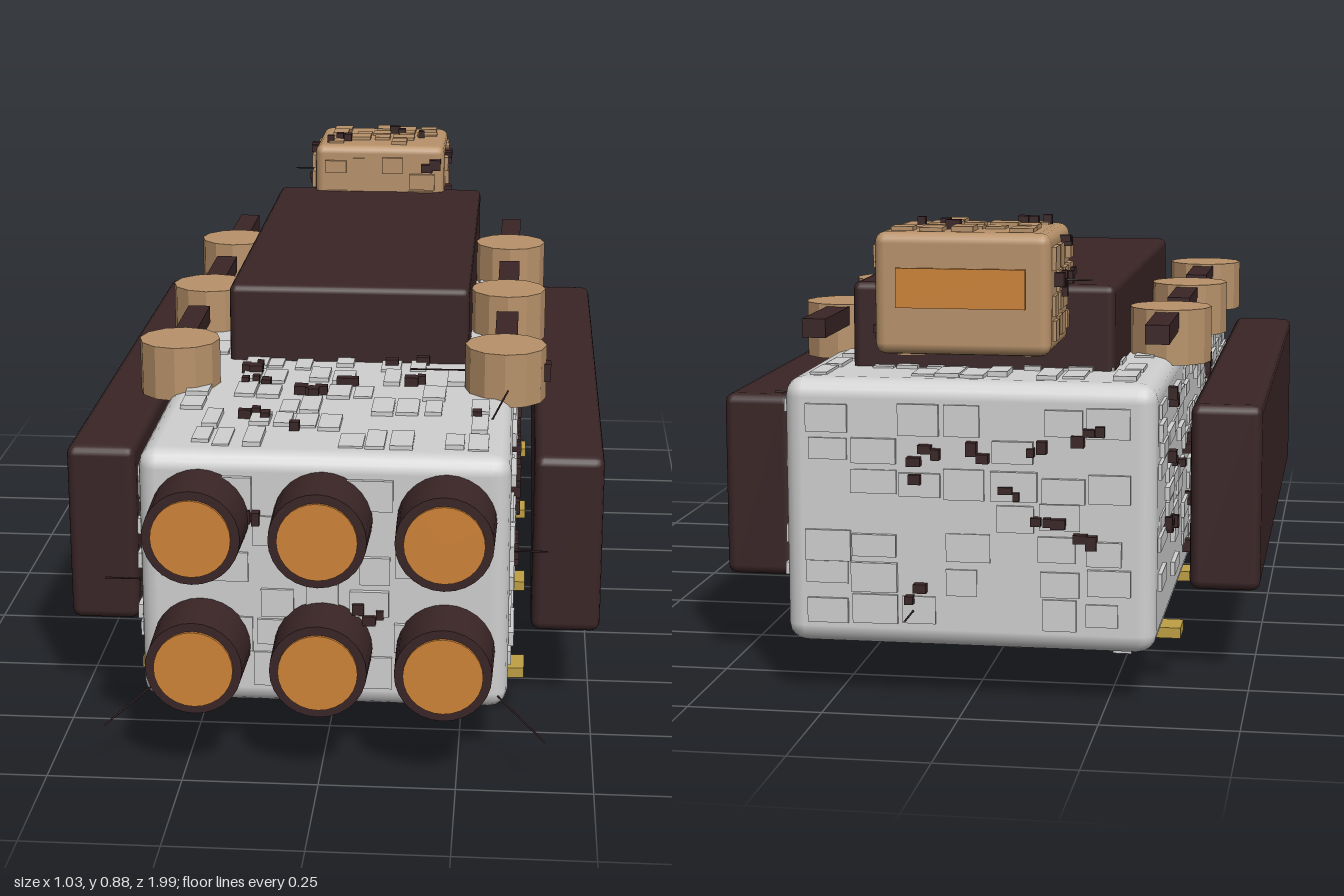
import * as THREE from 'three';
import { mergeGeometries } from 'three/addons/utils/BufferGeometryUtils.js';
import { RoundedBoxGeometry } from 'three/addons/geometries/RoundedBoxGeometry.js';

const paint = (name, color, side = THREE.FrontSide) => {
  const m = new THREE.MeshStandardMaterial({ color, side });
  m.name = name;
  return m;
};

export function createModel() {
  const ship = new THREE.Group();
  ship.name = 'freighter';
  const grey = paint('hull grey', 0xd0d0d0);
  const dark = paint('dark brown', 0x3a2526);
  const tan = paint('tan', 0xb8926a);
  const orange = paint('engine orange', 0xd08438);
  const gold = paint('gold', 0xbfa044);

  let seed = 17;
  const rnd = () => {
    seed = (seed * 16807) % 2147483647;
    return seed / 2147483647;
  };

  const add = (name, geo, mat, x = 0, y = 0, z = 0, parent = ship) => {
    const m = new THREE.Mesh(geo, mat);
    m.name = name;
    m.position.set(x, y, z);
    parent.add(m);
    return m;
  };
  // Rounded box given by its limits
  const block = (name, mat, [x0, x1], [y0, y1], [z0, z1], r) =>
    add(name, new RoundedBoxGeometry(x1 - x0, y1 - y0, z1 - z0, 2, r), mat,
      (x0 + x1) / 2, (y0 + y1) / 2, (z0 + z1) / 2);

  // Main masses
  block('hull', grey, [-0.34, 0.34], [0.1, 0.592], [-0.905, 0.88], 0.035);
  block('topBlock', dark, [-0.246, 0.246], [0.57, 0.75], [-0.74, 0.27], 0.015);
  block('bridge', tan, [-0.157, 0.157], [0.645, 0.862], [-0.955, -0.69], 0.02);
  for (const s of [-1, 1]) {
    const xs = s > 0 ? [0.382, 0.515] : [-0.515, -0.382];
    block('sidePod', dark, xs, [0.17, 0.524], [-0.683, 0.66], 0.018);
  }
  add('bridgeWindow', new THREE.BoxGeometry(0.23, 0.07, 0.008), orange, 0, 0.765, -0.963);

  // Irregular raised plates and dark studs over one face; local z points outward
  const clad = (name, mat, pos, rot, w, h, cw, ch, studs) => {
    const face = new THREE.Group();
    face.name = name;
    face.position.set(...pos);
    face.rotation.set(...rot);
    ship.add(face);
    const plates = [];
    const nx = Math.round(w / cw), ny = Math.round(h / ch);
    for (let i = 0; i < nx; i++) {
      for (let j = 0; j < ny; j++) {
        if (rnd() < 0.45) continue;
        const pw = (w / nx) * (0.65 + 0.35 * rnd());
        const ph = (h / ny) * (0.65 + 0.35 * rnd());
        const t = 0.003 + 0.007 * rnd();
        const g = new THREE.BoxGeometry(pw, ph, t);
        g.translate(-w / 2 + (i + 0.5) * w / nx + (rnd() - 0.5) * (w / nx - pw),
          -h / 2 + (j + 0.5) * h / ny + (rnd() - 0.5) * (h / ny - ph), t / 2);
        plates.push(g);
      }
    }
    add(name + 'Plates', mergeGeometries(plates), mat, 0, 0, 0, face);
    const bits = [];
    for (let i = 0; i < studs; i++) {
      const x = (rnd() - 0.5) * w * 0.92, y = (rnd() - 0.5) * h * 0.92;
      for (let k = 0; k < 1 + Math.floor(rnd() * 3); k++) {
        const g = new THREE.BoxGeometry(0.012 + 0.016 * rnd(), 0.012 + 0.014 * rnd(), 0.026);
        g.translate(x + k * 0.02, y + (rnd() - 0.5) * 0.04, 0.004);
        bits.push(g);
      }
    }
    if (bits.length) add(name + 'Studs', mergeGeometries(bits), dark, 0, 0, 0, face);
  };
  const q = Math.PI / 2;
  clad('hullTop', grey, [0, 0.592, -0.012], [-q, 0, 0], 0.6, 1.7, 0.045, 0.1, 26);
  clad('hullBottom', grey, [0, 0.1, -0.012], [q, 0, 0], 0.6, 1.7, 0.05, 0.12, 32);
  clad('hullLeft', grey, [0.34, 0.346, -0.012], [0, q, 0], 1.7, 0.41, 0.12, 0.035, 30);
  clad('hullRight', grey, [-0.34, 0.346, -0.012], [0, -q, 0], 1.7, 0.41, 0.12, 0.035, 30);
  clad('hullFront', grey, [0, 0.346, 0.88], [0, 0, 0], 0.6, 0.41, 0.09, 0.07, 4);
  clad('hullBack', grey, [0, 0.346, -0.905], [0, Math.PI, 0], 0.6, 0.41, 0.09, 0.06, 9);
  clad('bridgeTop', tan, [0, 0.862, -0.822], [-q, 0, 0], 0.27, 0.22, 0.06, 0.05, 3);
  clad('bridgeFront', tan, [0, 0.753, -0.69], [0, 0, 0], 0.27, 0.17, 0.065, 0.045, 1);
  clad('bridgeLeft', tan, [0.157, 0.753, -0.822], [0, q, 0], 0.22, 0.17, 0.06, 0.04, 4);
  clad('bridgeRight', tan, [-0.157, 0.753, -0.822], [0, -q, 0], 0.22, 0.17, 0.06, 0.04, 4);
  clad('bridgeBottom', tan, [0, 0.645, -0.845], [q, 0, 0], 0.27, 0.18, 0.07, 0.05, 1);

  // Six engines with glowing discs
  for (const x of [-0.225, 0, 0.225]) {
    for (const y of [0.22, 0.47]) {
      const nozzle = new THREE.CylinderGeometry(0.088, 0.091, 0.125, 28).rotateX(q);
      add('engineNozzle', nozzle, dark, x, y, 0.932);
      add('engineGlow', new THREE.CylinderGeometry(0.072, 0.072, 0.008, 28).rotateX(q), orange,
        x, y, 0.996);
    }
  }

  // Turrets with forward barrels, and landing feet
  const drum = new THREE.CylinderGeometry(0.08, 0.08, 0.107, 12).toNonIndexed();
  drum.computeVertexNormals();
  for (const s of [-1, 1]) {
    for (const z of [-0.46, -0.015, 0.435]) {
      add('turret', drum, tan, s * 0.323, 0.629, z);
      add('turretBarrel', new THREE.BoxGeometry(0.045, 0.036, 0.26), dark, s * 0.323, 0.66, z - 0.14);
    }
    for (const z of [-0.69, -0.24, 0.21, 0.66]) {
      add('foot', new THREE.BoxGeometry(0.065, 0.02, 0.065), gold, s * 0.338, 0.097, z);
    }
  }
  add('turretStud', new THREE.BoxGeometry(0.02, 0.035, 0.03), dark, 0.402, 0.63, 0.435);

  // Thin antennas as start and end points
  const needles = [
    [-0.13, 0.11, -0.235, -0.13, 0, -0.235], [-0.275, 0.11, 0.05, -0.275, 0.04, 0.05],
    [0.165, 0.11, -0.49, 0.165, 0.05, -0.49], [0.32, 0.13, 0.87, 0.41, 0.09, 0.98],
    [-0.32, 0.13, 0.87, -0.395, 0.095, 0.98], [0.33, 0.385, 0.79, 0.41, 0.385, 0.79],
    [-0.33, 0.31, 0.79, -0.42, 0.31, 0.79], [0.33, 0.535, -0.71, 0.405, 0.535, -0.71],
    [0.3, 0.59, 0.64, 0.33, 0.65, 0.64], [0.32, 0.628, 0.435, 0.135, 0.628, 0.435],
    [-0.15, 0.773, -0.86, -0.22, 0.773, -0.86], [0.1, 0.17, -0.9, 0.1, 0.17, -0.99],
  ];
  for (const [a, b, c, d, e, f] of needles) {
    const path = new THREE.LineCurve3(new THREE.Vector3(a, b, c), new THREE.Vector3(d, e, f));
    add('antenna', new THREE.TubeGeometry(path, 1, 0.0018, 5), dark);
  }
  return ship;
}
